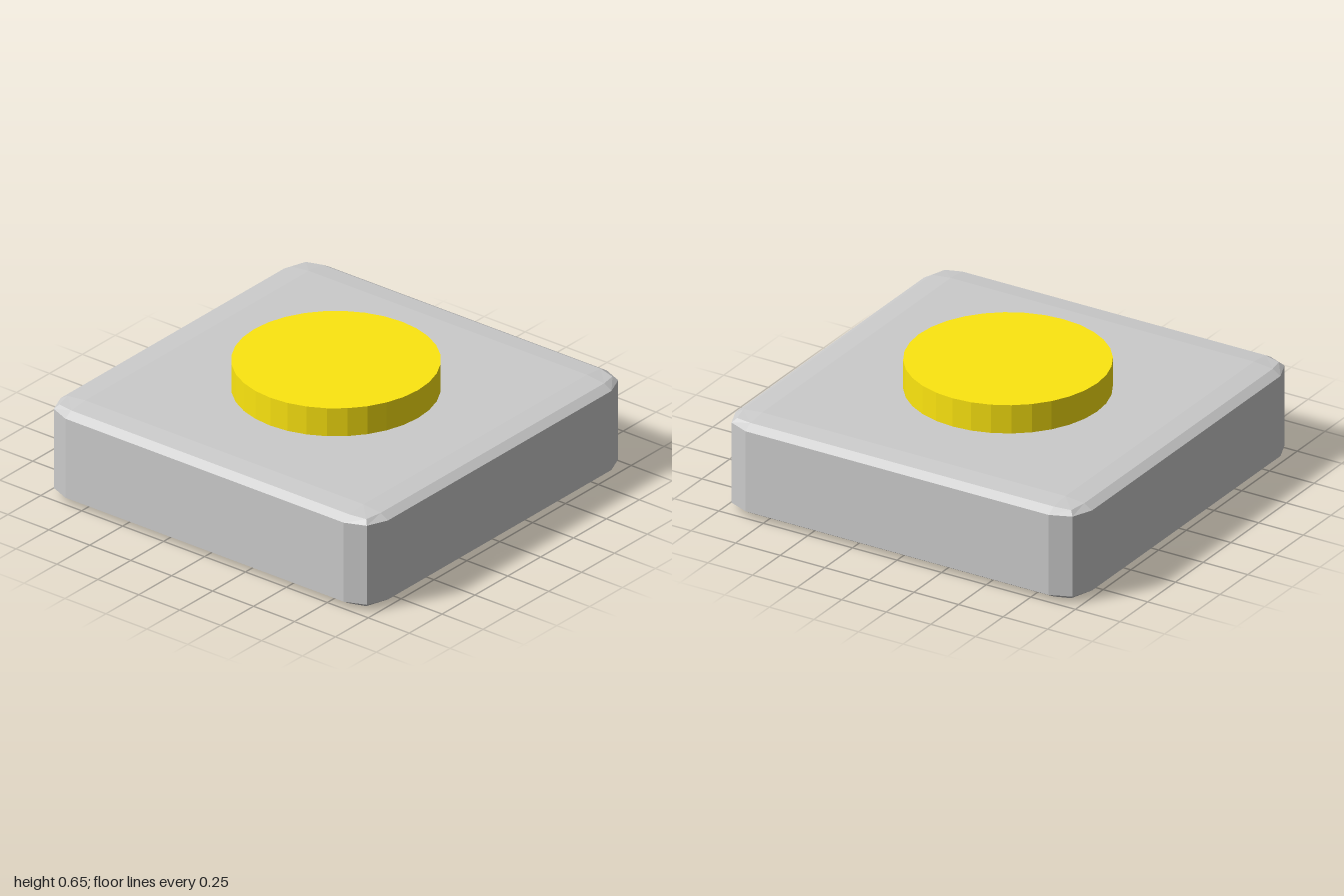
import * as THREE from 'three';
import { RoundedBoxGeometry } from 'three/addons/geometries/RoundedBoxGeometry.js';

export function createModel() {
  const group = new THREE.Group();
  group.name = 'pushButton';

  // Base: bevelled block, squashed so its top and bottom bevels are shallow
  const baseGeometry = new RoundedBoxGeometry(2, 2, 2, 1, 0.15);
  baseGeometry.scale(1, 0.25, 1);
  const base = new THREE.Mesh(
    baseGeometry,
    new THREE.MeshStandardMaterial({ color: 0xcccccc, flatShading: true })
  );
  base.name = 'base';
  base.position.y = 0.25;

  // Button: round cap, sunk slightly into the base
  const top = 0.65, bottom = 0.45;
  const button = new THREE.Mesh(
    new THREE.CylinderGeometry(0.5, 0.5, top - bottom, 32),
    new THREE.MeshStandardMaterial({ color: 0xfde610, flatShading: true })
  );
  button.name = 'button';
  button.position.y = (top + bottom) / 2;

  group.add(base, button);
  return group;
}
